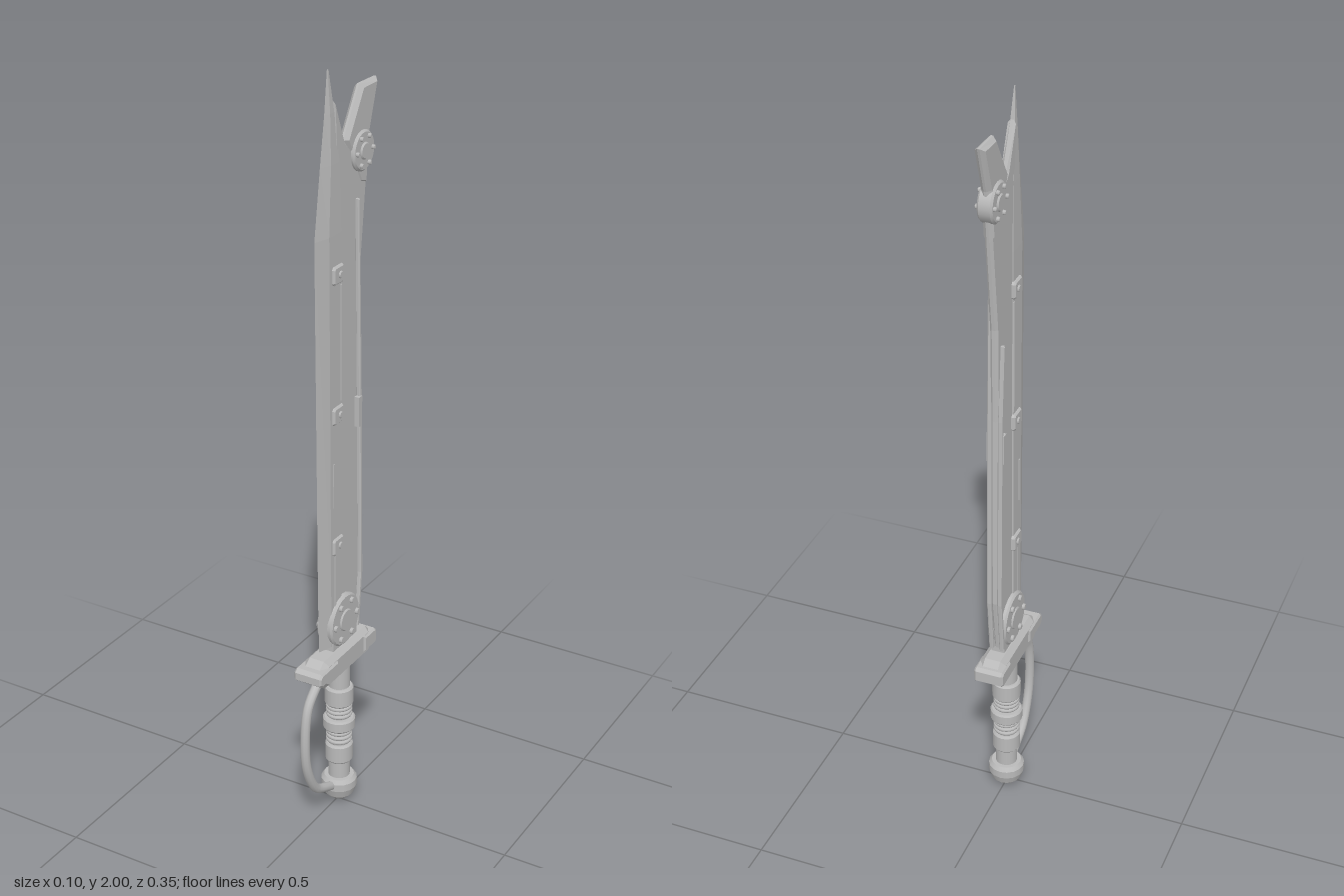
import * as THREE from 'three';

const steel = new THREE.MeshStandardMaterial({ color: 0xbababa });
steel.name = 'steel';

export function createModel() {
  const sword = new THREE.Group();
  sword.name = 'sword';

  const add = (name, geometry, x = 0, y = 0, z = 0) => {
    const mesh = new THREE.Mesh(geometry, steel);
    mesh.name = name;
    mesh.position.set(x, y, z);
    sword.add(mesh);
    return mesh;
  };

  // Bevelled plate from a side outline of [z, y] points, centred on x
  const plate = (points, thickness, bevel) => {
    const shape = new THREE.Shape(points.map(([z, y]) => new THREE.Vector2(z, y)));
    const depth = thickness - 2 * bevel;
    const g = new THREE.ExtrudeGeometry(shape, {
      depth, bevelEnabled: true, bevelThickness: bevel, bevelSize: bevel, bevelOffset: -bevel, bevelSegments: 1,
    });
    return g.translate(0, 0, -depth / 2).rotateY(-Math.PI / 2);
  };

  // Flat-faced skin through equal-sized loops of [x, y, z] points
  const loft = (loops) => {
    const n = loops[0].length, pos = [];
    const tri = (a, b, c) => pos.push(...a, ...b, ...c);
    for (let i = 0; i < loops.length - 1; i++) {
      for (let j = 0; j < n; j++) {
        const k = (j + 1) % n, lo = loops[i], hi = loops[i + 1];
        tri(lo[j], hi[j], hi[k]);
        tri(lo[j], hi[k], lo[k]);
      }
    }
    const end = loops[loops.length - 1];
    for (let j = 1; j < n - 1; j++) {
      tri(loops[0][0], loops[0][j], loops[0][j + 1]);
      tri(end[0], end[j + 1], end[j]);
    }
    const g = new THREE.BufferGeometry();
    g.setAttribute('position', new THREE.Float32BufferAttribute(pos, 3));
    g.computeVertexNormals();
    return g;
  };

  // Cutting half of the blade: [y, edge z, spine z, half thickness]
  const bladeRows = [
    [0.505, 0.093, 0.005, 0.014], [0.66, 0.097, 0.005, 0.014], [1.61, 0.106, 0.005, 0.013],
    [1.78, 0.08, 0.01, 0.011], [1.9, 0.06, 0.027, 0.007], [2.0, 0.048, 0.042, 0.001],
  ];
  add('cuttingBlade', loft(bladeRows.map(([y, edge, spine, t]) => {
    const bevel = edge - (edge - spine) * 0.45;
    return [[0, y, edge], [-t, y, bevel], [-t, y, spine], [t, y, spine], [t, y, bevel]];
  })));

  // Rear half of the blade and its angled prong
  add('rearBlade', plate([
    [0.02, 0.505], [0.02, 1.72], [0.028, 1.926], [-0.02, 1.82], [-0.06, 1.78], [-0.122, 1.72],
    [-0.108, 1.6], [-0.09, 1.45], [-0.087, 1.2], [-0.092, 0.66], [-0.07, 0.505],
  ], 0.02, 0.006));
  add('prong', plate([
    [-0.02, 1.82], [-0.093, 1.937], [-0.172, 1.937], [-0.135, 1.82], [-0.12, 1.69], [-0.085, 1.7],
  ], 0.026, 0.01));

  // Back rails, longer on the left face
  for (const [side, top] of [[1, 1.67], [-1, 1.4]]) {
    add('backRail', plate([
      [-0.068, 0.505], [-0.083, 0.66], [-0.074, 1.2], [-0.064, top], [-0.072, top],
      [-0.086, 1.2], [-0.095, 0.66], [-0.08, 0.505],
    ], 0.012, 0.003), side * 0.014);
    add('railClamp', new THREE.BoxGeometry(0.014, 0.08, 0.016), side * 0.016, 1.12, -0.073);
    // Slim raised seams
    for (const [y, h, z] of [[0.96, 0.12, 0.042], [0.7, 0.18, 0.036], [1.33, 0.3, 0.006]]) {
      add('seam', new THREE.BoxGeometry(0.004, h, 0.005), side * 0.014, y, z);
    }
  }

  // Chamfered disc with its axis along x
  const disc = (r, half, c, sides = 24) => new THREE.LatheGeometry([
    [0, -half], [r - c, -half], [r - c, -half], [r, -half + c], [r, -half + c],
    [r, half - c], [r, half - c], [r - c, half], [r - c, half], [0, half],
  ].map(([a, b]) => new THREE.Vector2(a, b)), sides).rotateZ(Math.PI / 2);

  // Round pivots with rings of bolts
  const pivot = (name, y, z, r, half, bolts) => {
    add(name, disc(r, half - 0.007, 0.005), 0, y, z);
    add(name + 'Boss', disc(r * 0.42, half - 0.003, 0.003), 0, y, z);
    for (let i = 0; i < bolts; i++) {
      const a = (i + 0.5) / bolts * Math.PI * 2;
      add(name + 'Bolt', disc(r * 0.12, half, 0.002, 8), 0, y + Math.cos(a) * r * 0.74, z + Math.sin(a) * r * 0.74);
    }
  };
  pivot('basePivot', 0.56, -0.003, 0.072, 0.03, 6);
  pivot('prongPivot', 1.78, -0.093, 0.05, 0.026, 6);

  // Clips along the spine
  for (const y of [0.788, 1.148, 1.51]) {
    const h = 0.023, w = 0.025, c = 0.006;
    add('spineClip', plate([
      [-w, -h + c], [-w, h - c], [-w + c, h], [w - c, h], [w, h - c], [w, -h + c], [w - c, -h], [-w + c, -h],
    ], 0.04, 0.004), 0, y, 0.024);
    add('clipBolt', disc(0.009, 0.024, 0.002, 10), 0, y, 0.02);
  }

  // Crossguard: neck, long body and end blocks
  add('bladeNeck', new THREE.BoxGeometry(0.036, 0.06, 0.12), 0, 0.5, -0.008);
  add('guardBody', plate([
    [0.105, 0.41], [-0.105, 0.41], [-0.128, 0.432], [-0.128, 0.468], [-0.105, 0.49],
    [0.105, 0.49], [0.138, 0.466], [0.138, 0.434],
  ], 0.07, 0.014));
  add('frontGuardBlock', plate([
    [0.06, 0.437], [0.06, 0.475], [0.142, 0.475], [0.153, 0.466], [0.153, 0.446], [0.142, 0.437],
  ], 0.08, 0.005));
  add('rearGuardBlock', plate([
    [-0.075, 0.43], [-0.129, 0.43], [-0.138, 0.438], [-0.138, 0.467], [-0.129, 0.475], [-0.075, 0.475],
  ], 0.08, 0.005));

  // Turned grip: doubled corner points keep the bands crisp
  const axis = -0.008;
  const turned = (points, sides) =>
    new THREE.LatheGeometry(points.flatMap(([r, y]) => [new THREE.Vector2(r, y), new THREE.Vector2(r, y)]), sides);
  add('gripCore', new THREE.CylinderGeometry(0.029, 0.029, 0.36, 20), 0, 0.245, axis);
  for (const [bottom, top, r] of [[0.125, 0.18, 0.037], [0.225, 0.26, 0.043], [0.3, 0.355, 0.038]]) {
    add('gripBand', turned([
      [0.025, bottom], [r - 0.004, bottom], [r, bottom + 0.005], [r, top - 0.005], [r - 0.004, top], [0.025, top],
    ], 20), 0, 0, axis);
  }
  for (const y of [0.19, 0.203, 0.216, 0.269, 0.281, 0.293]) {
    add('gripRib', new THREE.TorusGeometry(0.03, 0.0055, 8, 20).rotateX(Math.PI / 2), 0, y, axis);
  }

  // Pommel with a small end button
  add('pommel', turned([
    [0, 0.01], [0.028, 0.01], [0.04, 0.022], [0.048, 0.045], [0.048, 0.066], [0.04, 0.077], [0, 0.077],
  ], 16), 0, 0, axis);
  add('pommelButton', new THREE.CylinderGeometry(0.014, 0.012, 0.014, 12), 0, 0.007, axis);

  // Curved hand guard from crossguard to pommel
  const bow = new THREE.CatmullRomCurve3([
    [0.425, 0.085], [0.402, 0.118], [0.365, 0.15], [0.275, 0.165], [0.18, 0.155], [0.1, 0.113], [0.07, 0.06], [0.055, 0.025],
  ].map(([y, z]) => new THREE.Vector3(0, y, z)));
  add('handGuard', new THREE.TubeGeometry(bow, 32, 0.0125, 10));

  return sword;
}
